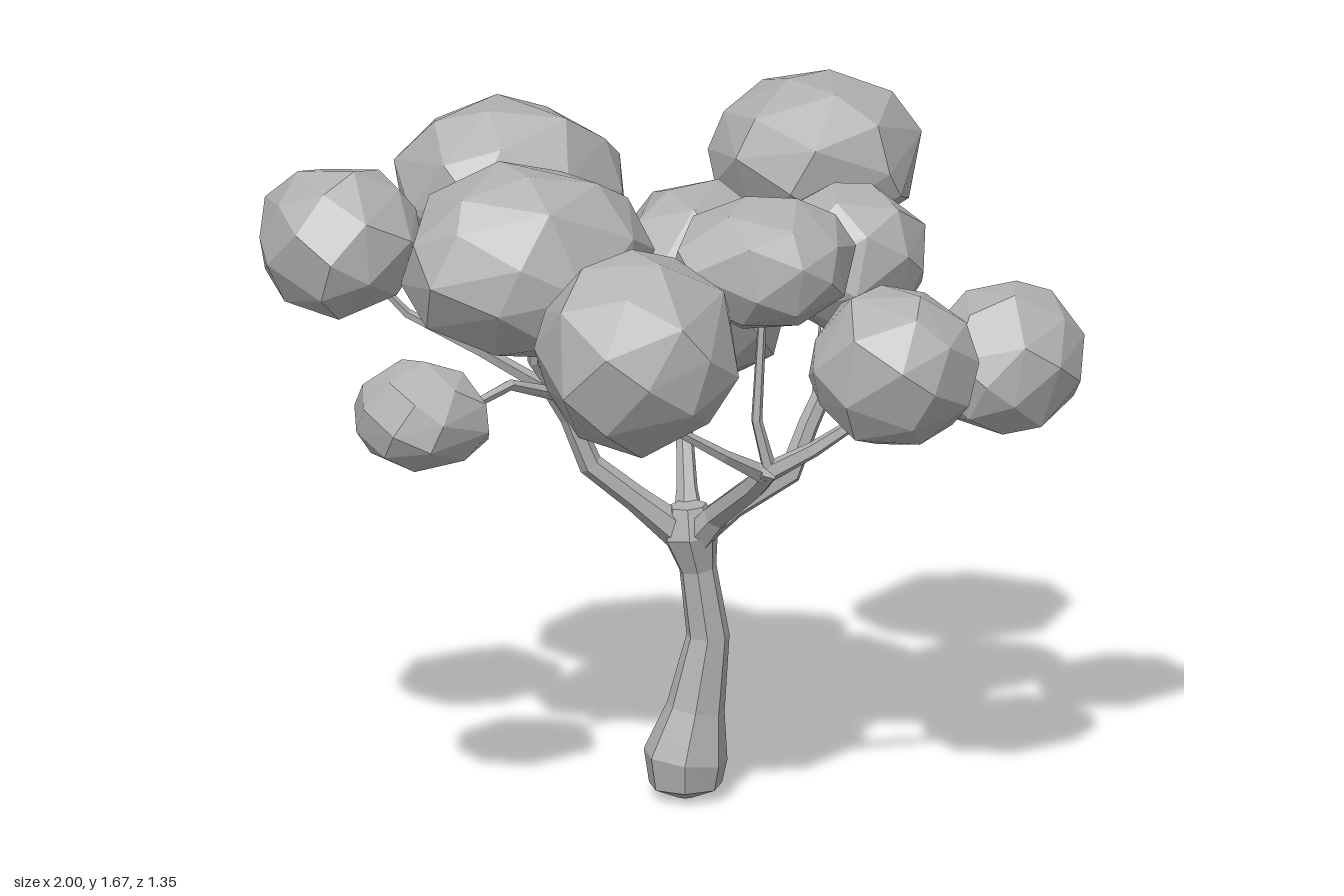
import * as THREE from 'three';
import { ConvexGeometry } from 'three/addons/geometries/ConvexGeometry.js';

const V = (x, y, z) => new THREE.Vector3(x, y, z);

function seeded(seed) {
  let s = seed * 7919 + 17;
  return () => (s = (s * 16807) % 2147483647) / 2147483647;
}

// Faceted clump filling the box between two corners
function clumpGeometry(min, max, seed) {
  const rand = seeded(seed);
  const spin = rand() * 6;
  const count = 32;
  const points = [];
  for (let i = 0; i < count; i++) {
    const y = 1 - (2 * (i + 0.5)) / count + (rand() - 0.5) * 0.08;
    const a = spin + i * 2.39996 + (rand() - 0.5) * 0.45;
    const r = Math.sqrt(Math.max(0, 1 - y * y));
    points.push(V(r * Math.cos(a), y, r * Math.sin(a)).multiplyScalar(0.96 + rand() * 0.08));
  }
  const box = new THREE.Box3().setFromPoints(points);
  const size = box.getSize(V(0, 0, 0));
  const span = max.clone().sub(min);
  points.forEach((p) => p.sub(box.min).divide(size).multiply(span).add(min));
  return new ConvexGeometry(points);
}

// Tapered limb through [x, y, z, radius] stations, closed at both ends
function limbGeometry(stations, sides) {
  const centres = stations.map((s) => V(s[0], s[1], s[2]));
  const last = centres.length - 1;
  const pos = [];
  const index = [];
  centres.forEach((c, i) => {
    const t = centres[Math.min(i + 1, last)].clone().sub(centres[Math.max(i - 1, 0)]).normalize();
    const u = t.clone().cross(V(0, 0, 1)).normalize();
    const v = t.clone().cross(u);
    for (let j = 0; j < sides; j++) {
      const a = (j / sides) * Math.PI * 2;
      const p = c.clone()
        .addScaledVector(u, Math.cos(a) * stations[i][3])
        .addScaledVector(v, Math.sin(a) * stations[i][3]);
      pos.push(p.x, p.y, p.z);
    }
  });
  for (let i = 0; i < last; i++) {
    for (let j = 0; j < sides; j++) {
      const a = i * sides + j;
      const b = i * sides + ((j + 1) % sides);
      index.push(a, b, a + sides, b, b + sides, a + sides);
    }
  }
  const top = last * sides;
  for (let j = 1; j < sides - 1; j++) {
    index.push(0, j + 1, j, top, top + j, top + j + 1);
  }
  const g = new THREE.BufferGeometry();
  g.setAttribute('position', new THREE.Float32BufferAttribute(pos, 3));
  g.setIndex(index);
  const flat = g.toNonIndexed();
  flat.computeVertexNormals();
  return flat;
}

export function createModel() {
  const tree = new THREE.Group();
  tree.name = 'tree';
  const grey = new THREE.MeshStandardMaterial({ color: 0xb0b0b0 });
  grey.name = 'plain grey';
  grey.flatShading = true;

  const add = (parent, name, geometry) => {
    const mesh = new THREE.Mesh(geometry, grey);
    mesh.name = name;
    parent.add(mesh);
  };

  // Trunk with a flared foot
  add(tree, 'trunk', limbGeometry([
    [0.03, 0, -0.035, 0.02], [0.03, 0.03, -0.035, 0.09], [0.03, 0.1, -0.035, 0.104],
    [0.055, 0.22, -0.033, 0.072], [0.085, 0.4, -0.033, 0.053],
    [0.06, 0.57, -0.033, 0.046], [0.04, 0.66, -0.03, 0.07], [0.035, 0.73, -0.03, 0.045],
  ], 7));

  // Main branches, each followed by the twigs that leave its end
  const branches = new THREE.Group();
  branches.name = 'branches';
  tree.add(branches);
  const limbs = {
    rightBranch: [
      [[0.03, 0.65, -0.03, 0.045], [-0.09, 0.75, -0.04, 0.032], [-0.2, 0.84, -0.05, 0.03],
        [-0.25, 0.96, -0.05, 0.025], [-0.3, 1.04, -0.05, 0.022]],
      [[-0.28, 1.02, -0.05, 0.02], [-0.33, 1.12, -0.18, 0.016], [-0.33, 1.3, -0.33, 0.01]],
      [[-0.28, 1.02, -0.05, 0.02], [-0.35, 1.12, 0.0, 0.016], [-0.36, 1.3, 0.05, 0.01]],
      [[-0.28, 1.02, -0.05, 0.02], [-0.47, 1.14, -0.06, 0.016], [-0.64, 1.23, -0.1, 0.012], [-0.75, 1.35, -0.1, 0.008]],
      [[-0.28, 1.02, -0.05, 0.018], [-0.42, 1.08, 0.05, 0.014], [-0.5, 1.06, 0.1, 0.012], [-0.62, 1.07, 0.18, 0.008]],
    ],
    frontBranch: [
      [[0.04, 0.63, -0.03, 0.045], [0.09, 0.72, 0.04, 0.034], [0.15, 0.84, 0.21, 0.03], [0.17, 0.9, 0.28, 0.028]],
      [[0.16, 0.88, 0.26, 0.026], [0.27, 0.95, 0.31, 0.02], [0.42, 1.06, 0.36, 0.012]],
      [[0.16, 0.88, 0.26, 0.024], [0.05, 0.95, 0.32, 0.016], [-0.15, 1.08, 0.38, 0.01]],
      [[0.17, 0.9, 0.27, 0.018], [0.14, 1.02, 0.27, 0.014], [0.16, 1.35, 0.26, 0.01]],
    ],
    leftBranch: [
      [[0.05, 0.65, -0.04, 0.045], [0.15, 0.72, -0.04, 0.034], [0.29, 0.79, -0.05, 0.03],
        [0.34, 0.91, -0.06, 0.026], [0.38, 0.99, -0.07, 0.024]],
      [[0.37, 0.96, -0.07, 0.024], [0.41, 1.12, -0.19, 0.02], [0.43, 1.38, -0.36, 0.014]],
      [[0.37, 0.96, -0.07, 0.02], [0.54, 1.06, -0.12, 0.014], [0.72, 1.07, -0.1, 0.01]],
      [[0.37, 0.96, -0.07, 0.02], [0.42, 1.1, -0.02, 0.015], [0.42, 1.25, 0, 0.01]],
    ],
    backBranch: [
      [[0.04, 0.65, -0.03, 0.045], [0.05, 0.75, -0.11, 0.026], [0.06, 0.84, -0.18, 0.022], [0.07, 0.94, -0.26, 0.02]],
      [[0.07, 0.93, -0.25, 0.018], [0.08, 1.0, -0.36, 0.014], [0.08, 1.08, -0.46, 0.01]],
      [[0.07, 0.93, -0.25, 0.018], [0.08, 1.04, -0.2, 0.014], [0.08, 1.2, -0.14, 0.01]],
    ],
  };
  for (const [name, parts] of Object.entries(limbs)) {
    const limb = new THREE.Group();
    limb.name = name;
    branches.add(limb);
    parts.forEach((p, i) => add(limb, i ? 'twig' : 'bough', limbGeometry(p, i ? 5 : 6)));
  }

  // Foliage clumps: x, y and z ranges
  const foliage = new THREE.Group();
  foliage.name = 'foliage';
  tree.add(foliage);
  [
    [-1.0, -0.61, 1.23, 1.61, -0.3, 0.09],
    [-0.83, -0.5, 0.93, 1.2, 0.03, 0.37],
    [-0.68, -0.06, 1.15, 1.62, -0.18, 0.29],
    [-0.6, -0.05, 1.2, 1.66, -0.61, -0.14],
    [-0.16, 0.25, 0.98, 1.3, -0.68, -0.34],
    [0.18, 0.69, 1.29, 1.67, -0.67, -0.16],
    [-0.12, 0.29, 1.0, 1.5, -0.36, 0.15],
    [0.22, 0.61, 1.15, 1.52, -0.19, 0.19],
    [-0.07, 0.39, 1.25, 1.57, 0.07, 0.46],
    [0.25, 0.66, 0.97, 1.35, 0.19, 0.57],
    [-0.43, 0.05, 1.01, 1.5, 0.2, 0.67],
    [0.65, 1.0, 0.86, 1.23, -0.21, 0.14],
  ].forEach(([x0, x1, y0, y1, z0, z1], i) =>
    add(foliage, 'leafClump', clumpGeometry(V(x0, y0, z0), V(x1, y1, z1), i + 3)));

  return tree;
}
